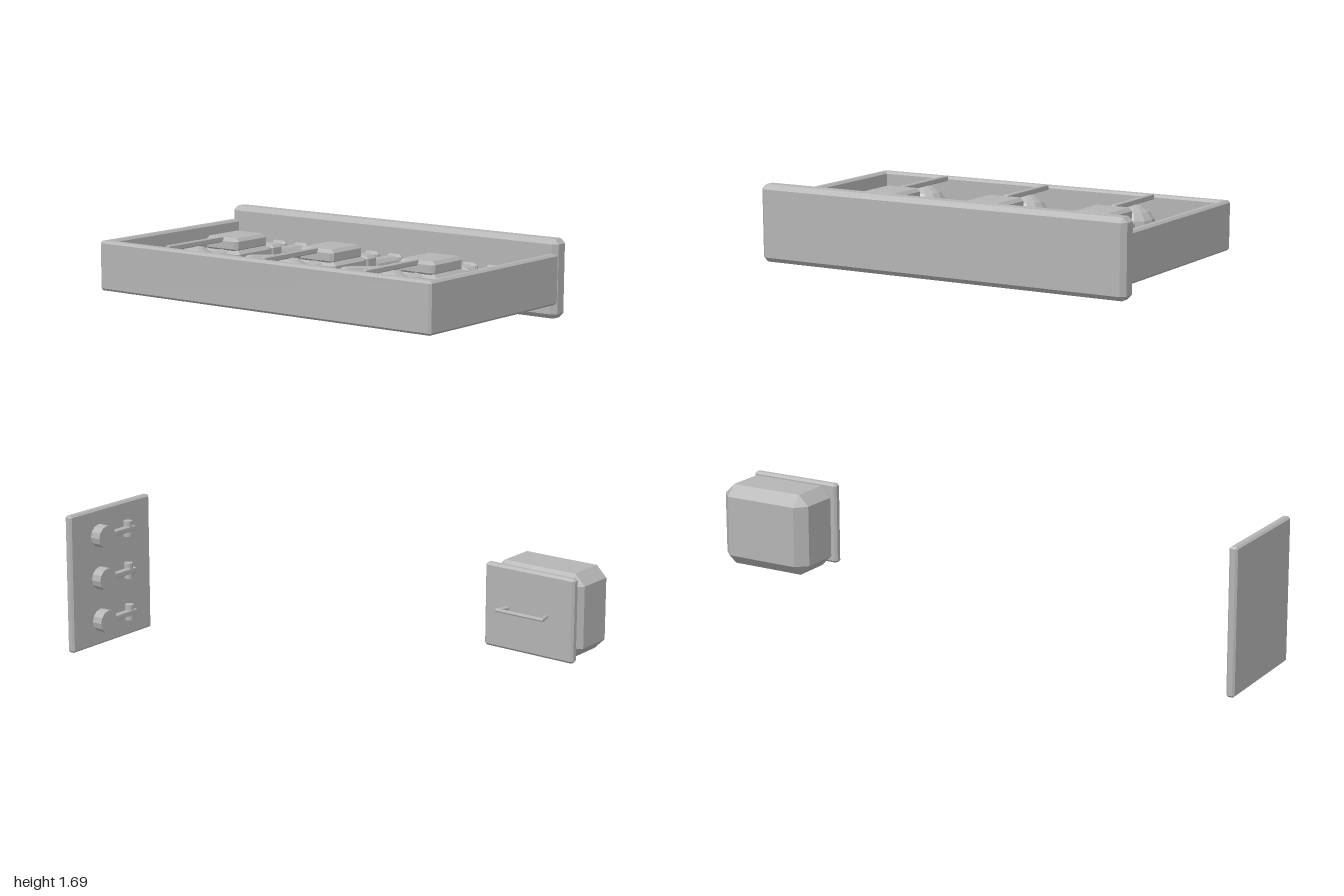
import * as THREE from 'three';
import { ConvexGeometry } from 'three/addons/geometries/ConvexGeometry.js';

const grey = new THREE.MeshStandardMaterial({ color: 0xb4b4b4 });
grey.name = 'plain grey';

function add(parent, name, geometry) {
  const mesh = new THREE.Mesh(geometry, grey);
  mesh.name = name;
  parent.add(mesh);
  return mesh;
}

// Box given by its limits, with every edge chamfered by c
function block(parent, name, [x0, x1], [y0, y1], [z0, z1], c = 0.008) {
  const half = [(x1 - x0) / 2, (y1 - y0) / 2, (z1 - z0) / 2];
  const points = [];
  for (let axis = 0; axis < 3; axis++) {
    for (const sx of [-1, 1]) for (const sy of [-1, 1]) for (const sz of [-1, 1]) {
      const s = [sx, sy, sz];
      points.push(new THREE.Vector3(...half.map((h, i) => s[i] * (i === axis ? h : h - c))));
    }
  }
  const mesh = add(parent, name, new ConvexGeometry(points));
  mesh.position.set((x0 + x1) / 2, (y0 + y1) / 2, (z0 + z1) / 2);
  return mesh;
}

// Rod, or rounded limb, between two points
function rod(parent, name, a, b, r0, r1 = r0, sides = 12, rounded = false) {
  const p = new THREE.Vector3(...a), q = new THREE.Vector3(...b);
  const length = p.distanceTo(q);
  const geometry = rounded
    ? new THREE.CapsuleGeometry(r0, length, 4, sides)
    : new THREE.CylinderGeometry(r1, r0, length, sides);
  const mesh = add(parent, name, geometry.toNonIndexed());
  mesh.geometry.computeVertexNormals();
  mesh.position.copy(p).add(q).multiplyScalar(0.5);
  mesh.quaternion.setFromUnitVectors(new THREE.Vector3(0, 1, 0), q.sub(p).normalize());
  return mesh;
}

// Figure lying face down, head towards +z
function makeFigure(x) {
  const figure = new THREE.Group();
  figure.name = 'lyingFigure';
  figure.position.x = x;
  const head = add(figure, 'head', new THREE.SphereGeometry(0.083, 12, 8).toNonIndexed());
  head.geometry.computeVertexNormals();
  head.position.set(0, 1.545, 0.22);
  block(figure, 'visor', [-0.06, 0.06], [1.45, 1.51], [0.185, 0.27], 0.012);
  rod(figure, 'neck', [0, 1.545, 0.07], [0, 1.545, 0.15], 0.055, 0.05);
  block(figure, 'torso', [-0.085, 0.085], [1.49, 1.6], [-0.11, 0.085], 0.015);
  block(figure, 'backpack', [-0.075, 0.075], [1.59, 1.642], [-0.1, 0.08], 0.012);
  block(figure, 'belt', [-0.07, 0.07], [1.5, 1.59], [-0.13, -0.1], 0.006);
  block(figure, 'hips', [-0.075, 0.075], [1.495, 1.595], [-0.187, -0.122], 0.01);
  // Line from the pack to the tray wall
  block(figure, 'tether', [-0.009, 0.009], [1.625, 1.645], [0.07, 0.37], 0.003);
  for (const s of [-1, 1]) {
    rod(figure, 'arm', [s * 0.095, 1.55, 0.03], [s * 0.135, 1.535, -0.14], 0.031, 0.031, 10, true);
    rod(figure, 'leg', [s * 0.052, 1.545, -0.18], [s * 0.052, 1.545, -0.3], 0.036, 0.033);
    rod(figure, 'ankle', [s * 0.052, 1.545, -0.295], [s * 0.052, 1.545, -0.315], 0.028);
    block(figure, 'boot', [s * 0.052 - 0.033, s * 0.052 + 0.033], [1.455, 1.58], [-0.336, -0.308], 0.01);
  }
  return figure;
}

export function createModel() {
  const model = new THREE.Group();
  model.name = 'trayAndPanels';

  // Open tray frame with a taller end panel
  const tray = new THREE.Group();
  tray.name = 'tray';
  block(tray, 'endPanel', [-0.69, 0.78], [1.41, 1.69], [-0.408, -0.335], 0.017);
  block(tray, 'frontWall', [-0.687, 0.778], [1.46, 1.64], [0.367, 0.406]);
  block(tray, 'rightWall', [-0.687, -0.655], [1.46, 1.64], [-0.36, 0.4]);
  block(tray, 'leftWall', [0.746, 0.778], [1.46, 1.64], [-0.36, 0.4]);
  model.add(tray);
  for (const x of [-0.392, 0.044, 0.48]) model.add(makeFigure(x));

  // Upright panel with three hinged levers
  const leverPanel = new THREE.Group();
  leverPanel.name = 'leverPanel';
  block(leverPanel, 'plate', [-1, -0.968], [0, 0.545], [-0.147, 0.3], 0.007);
  for (const y of [0.1, 0.27, 0.44]) {
    rod(leverPanel, 'leverDisc', [-0.97, y, 0.145], [-0.924, y, 0.145], 0.045);
    block(leverPanel, 'leverBar', [-0.955, -0.932], [y - 0.011, y + 0.011], [-0.026, 0.12], 0.003);
    rod(leverPanel, 'hinge', [-0.95, y - 0.031, 0], [-0.95, y + 0.031, 0], 0.018);
  }
  model.add(leverPanel);

  // Drawer box with front plate and handle
  const drawer = new THREE.Group();
  drawer.name = 'drawer';
  block(drawer, 'drawerBox', [0.625, 1], [0.24, 0.547], [-0.408, -0.186], 0.04);
  block(drawer, 'drawerFront', [0.628, 1], [0.24, 0.547], [-0.187, -0.155], 0.008);
  rod(drawer, 'handleBar', [0.71, 0.396, -0.107], [0.91, 0.396, -0.107], 0.007, 0.007, 8);
  for (const [a, b] of [[0.716, 0.73], [0.904, 0.89]]) {
    rod(drawer, 'handlePost', [a, 0.396, -0.107], [b, 0.396, -0.16], 0.007, 0.007, 8);
  }
  model.add(drawer);
  return model;
}
